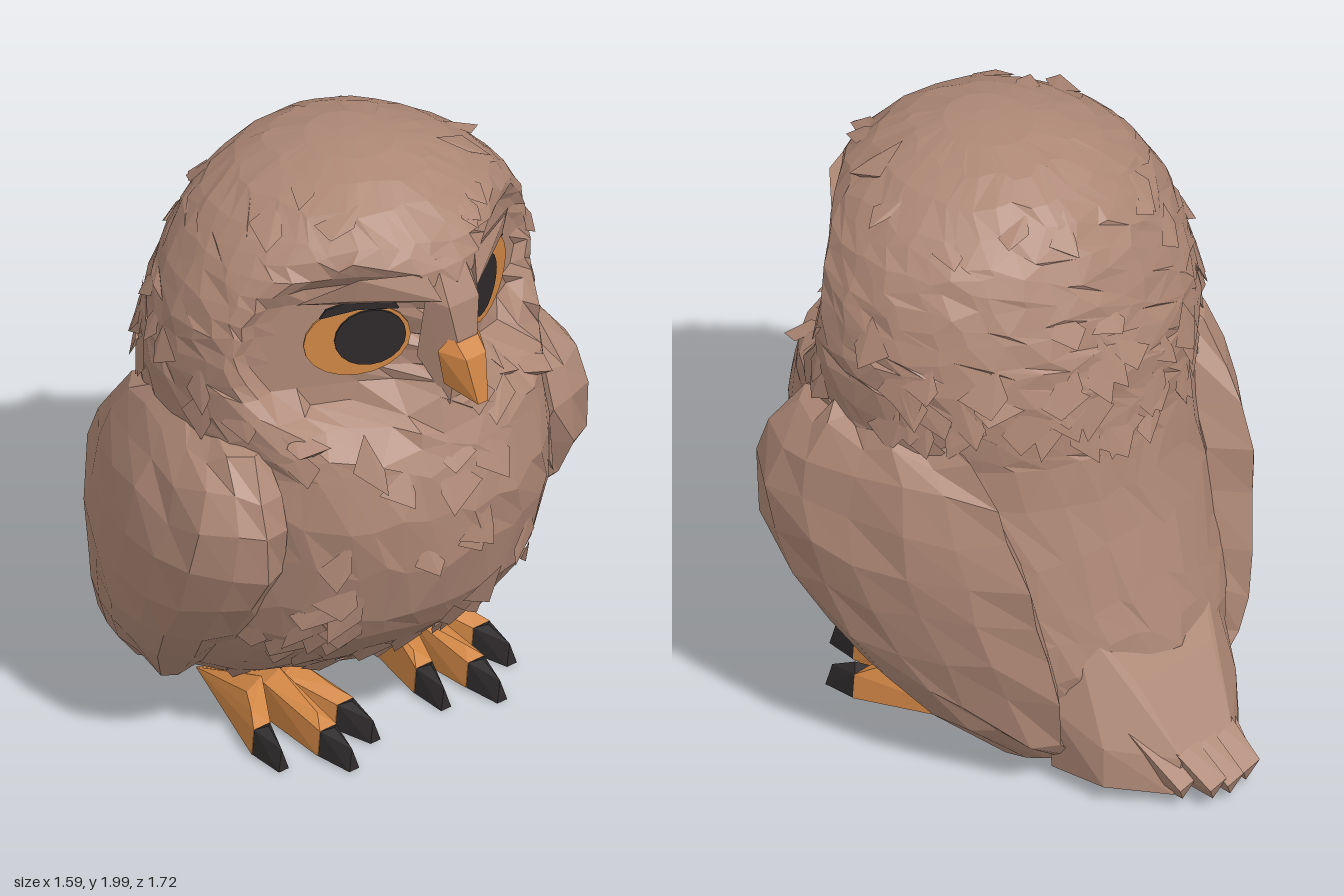
import * as THREE from 'three';
import { ConvexGeometry } from 'three/addons/geometries/ConvexGeometry.js';

let seed = 7;
const rnd = () => ((seed = (seed * 16807) % 2147483647) / 2147483647);
const jit = (a) => (rnd() * 2 - 1) * a;
const V = (x, y, z) => new THREE.Vector3(x, y, z);

// Body profile: height, half width, front z, back z
const PROFILE = [
  [0.03, 0.12, -0.12, -0.42], [0.07, 0.32, 0.05, -0.48], [0.13, 0.42, 0.2, -0.52],
  [0.2, 0.48, 0.33, -0.54], [0.3, 0.54, 0.48, -0.55], [0.4, 0.58, 0.61, -0.55],
  [0.5, 0.6, 0.72, -0.53], [0.6, 0.61, 0.79, -0.5], [0.8, 0.62, 0.84, -0.45],
  [0.95, 0.62, 0.85, -0.41], [1.1, 0.61, 0.81, -0.39], [1.22, 0.64, 0.765, -0.38],
  [1.35, 0.65, 0.75, -0.375], [1.45, 0.65, 0.765, -0.355], [1.55, 0.63, 0.77, -0.325],
  [1.65, 0.595, 0.755, -0.295], [1.75, 0.535, 0.715, -0.25], [1.84, 0.45, 0.655, -0.19],
  [1.91, 0.35, 0.58, -0.12], [1.96, 0.235, 0.495, -0.035], [1.99, 0.13, 0.38, 0.09],
  [2.0, 0.03, 0.28, 0.2],
];

// Point on the body; the face is pressed back to make the flat facial discs
function bodyPoint(theta, s) {
  const i = Math.min(Math.floor(s), PROFILE.length - 2), f = s - i;
  const [y, w, zf, zb] = PROFILE[i].map((v, k) => v + (PROFILE[i + 1][k] - v) * f);
  const p = V(w * Math.cos(theta), y, (zf + zb) / 2 + ((zf - zb) / 2) * Math.sin(theta));
  const ax = Math.abs(p.x);
  if (p.z > 0.2) {
    const d = Math.hypot((ax - 0.32) / 0.23, (y - 1.5) / 0.21);
    const press = THREE.MathUtils.clamp((1.5 - d) / 0.5, 0, 1);
    const plane = 0.61 - 0.53 * (ax - 0.11);
    if (p.z > plane) p.z += (plane - p.z) * press;
  }
  return p;
}

function flatGeometry(points, index) {
  let g = new THREE.BufferGeometry().setFromPoints(points);
  if (index) { g.setIndex(index); g = g.toNonIndexed(); }
  g.computeVertexNormals();
  return g;
}

// Skin over closed rings stacked upward, capped at both ends
function loft(rings) {
  const n = rings[0].length, pts = rings.flat(), index = [];
  for (let i = 0; i < rings.length - 1; i++) for (let j = 0; j < n; j++) {
    const a = i * n + j, b = i * n + (j + 1) % n, c = b + n, d = a + n;
    index.push(a, d, c, a, c, b);
  }
  const top = (rings.length - 1) * n;
  for (let j = 1; j < n - 1; j++) index.push(0, j, j + 1, top, top + j + 1, top + j);
  return flatGeometry(pts, index);
}

// Coarse facets on the body, finer rows across the face
function bodyGeometry() {
  const rings = [], N = 42;
  for (let s = 0; s <= PROFILE.length - 1; s += s >= 10 && s < 17 ? 0.5 : 1) {
    const ring = [];
    for (let j = 0; j < N; j++) {
      const t = ((j + (rings.length % 2) * 0.5) / N) * Math.PI * 2;
      const face = Math.sin(t) > 0.3 && s > 11.5 && s < 16.5;
      const k = face || s < 1 || s > 19 ? 0 : 1;
      const p = bodyPoint(t + jit(0.055) * k, s + jit(0.2) * k);
      p.x *= 1 + jit(0.01) * k;
      p.z += jit(0.007) * k;
      ring.push(p);
    }
    rings.push(ring);
  }
  return loft(rings);
}

// Pointed feather shards lying on the body, tips down and slightly lifted
function tuftGeometry() {
  const out = [], H = Math.PI / 2;
  // count, centre angle, angle spread, profile range, size
  const zones = [
    [34, H, 1.1, 3.5, 8.5, 1.1], [12, H, 1.1, 9.5, 11.5, 1.1], [42, -H, 1.3, 10.2, 12.6, 1.2],
    [9, -H, 1.6, 13, 18, 1], [8, H, 1.6, 17, 18.8, 1], [24, H, 2.2, 1, 3.5, 1.1],
    [6, 0, 0.6, 11, 14, 1], [6, Math.PI, 0.6, 11, 14, 1],
  ];
  for (const [count, mid, spread, s0, s1, size] of zones) for (let i = 0; i < count; i++) {
    const t = mid + jit(spread), s = s0 + rnd() * (s1 - s0);
    const p = bodyPoint(t, s);
    const side = bodyPoint(t + 0.05, s).sub(p).normalize();
    const up = bodyPoint(t, s + 0.1).sub(p).normalize();
    const n = V().crossVectors(up, side).normalize();
    const w = (0.035 + rnd() * 0.035) * size, len = (0.06 + rnd() * 0.07) * size;
    const at = (a, b, c) => p.clone().addScaledVector(side, a).addScaledVector(up, b).addScaledVector(n, c);
    const top = at(jit(w), len * 0.9, -0.01), l = at(-w, 0, 0.003), r = at(w, 0, 0.003);
    const tip = at(jit(w), -len * 0.6, 0.012 + rnd() * 0.014);
    const root = at(0, -len * 0.3, -0.015);
    out.push(top, tip, l, top, r, tip, l, tip, root, root, tip, r);
  }
  return flatGeometry(out);
}

// Folded wing: height, inner x, outer x, front z, back z
const WING = [
  [0.07, 0.28, 0.4, -0.14, -0.44], [0.2, 0.36, 0.57, 0.08, -0.46], [0.35, 0.38, 0.67, 0.24, -0.46],
  [0.5, 0.4, 0.74, 0.37, -0.45], [0.65, 0.42, 0.79, 0.49, -0.43], [0.8, 0.44, 0.805, 0.56, -0.4],
  [0.95, 0.46, 0.785, 0.585, -0.35], [1.07, 0.48, 0.745, 0.55, -0.29], [1.17, 0.5, 0.68, 0.46, -0.18],
  [1.24, 0.52, 0.62, 0.34, 0],
];
const WING_SECTION = [[0, 0.14], [0.14, 0.48], [0.3, 0.72], [0.48, 0.89], [0.66, 0.99], [0.82, 0.97],
  [0.94, 0.77], [1, 0.5], [0.97, 0.2], [0.75, 0], [0.4, 0], [0.12, -0.1]];

function wingGeometry(side) {
  const rings = WING.map(([y, xi, xo, zf, zb]) => {
    const ring = WING_SECTION.map(([u, w]) => V(
      side * (xi + (xo - xi) * w + jit(0.012)), y + jit(0.03), zb + (zf - zb) * u + jit(0.02)));
    return side > 0 ? ring : ring.reverse();
  });
  return loft(rings);
}

const hull = (pts) => new ConvexGeometry(pts.map((p) => V(...p)));

export function createModel() {
  const mat = (name, color) => Object.assign(new THREE.MeshStandardMaterial({ color }), { name });
  const brown = mat('brown plumage', 0xad8775);
  brown.side = THREE.DoubleSide;
  const orange = mat('orange', 0xd08645);
  const black = mat('black', 0x2e2a2b);
  const owl = new THREE.Group();
  owl.name = 'owl';
  const add = (name, geometry, material, parent = owl) => {
    const m = new THREE.Mesh(geometry, material);
    m.name = name;
    parent.add(m);
    return m;
  };

  add('body', bodyGeometry(), brown);
  add('featherTufts', tuftGeometry(), brown);

  // Tail sweeping down from the back, with overlapping feathers at the end
  add('tail', hull([[-0.28, 0.62, -0.37], [0.28, 0.62, -0.37], [-0.38, 0.3, -0.38], [0.38, 0.3, -0.38],
    [-0.36, 0.06, -0.38], [0.36, 0.06, -0.38], [-0.14, 0.37, -0.575], [0.18, 0.37, -0.575],
    [-0.25, 0.2, -0.57], [0.33, 0.2, -0.57], [-0.25, 0.06, -0.58], [0.34, 0.07, -0.58],
    [-0.06, 0.16, -0.74], [0.16, 0.16, -0.74], [-0.09, 0.05, -0.74], [0.2, 0.05, -0.74]]), brown);
  [[-0.08, -0.74, 0], [-0.03, -0.845, 0.005], [0.05, -0.855, 0], [0.115, -0.845, 0.01], [0.18, -0.78, 0.01]]
    .forEach(([x, z, dy]) => add('tailFeather', hull([[x * 1.2 - 0.06, 0.3, -0.54], [x * 1.2 + 0.06, 0.3, -0.54],
      [x * 1.2, 0.06, -0.5], [x - 0.04, 0.09 + dy, z], [x + 0.035, 0.08 + dy, z - 0.005],
      [x, 0.025 + dy, z + 0.02]]), brown));

  // Beak and the ridge between the eyes
  add('beak', hull([[-0.045, 1.535, 0.76], [0.045, 1.535, 0.76], [-0.085, 1.485, 0.74], [0.085, 1.485, 0.74],
    [-0.06, 1.36, 0.74], [0.06, 1.36, 0.74], [-0.04, 1.47, 0.82], [0.04, 1.47, 0.82],
    [-0.02, 1.32, 0.853], [0.02, 1.32, 0.853], [0, 1.315, 0.72]]), orange);
  add('browRidge', hull([-1, 1].flatMap((s) => [[s * 0.04, 1.52, 0.78], [s * 0.1, 1.44, 0.66],
    [s * 0.04, 1.28, 0.745], [s * 0.1, 1.66, 0.7], [s * 0.06, 1.64, 0.765], [s * 0.05, 1.78, 0.69]])), brown);

  for (const s of [1, -1]) {
    const side = s > 0 ? 'left' : 'right';
    add(side + 'Wing', wingGeometry(s), brown);

    add(side + 'Brow', hull([[0.07, 1.66, 0.745], [0.1, 1.75, 0.7], [0.3, 1.77, 0.62], [0.43, 1.67, 0.48],
      [0.3, 1.685, 0.6], [0.11, 1.655, 0.62]].map(([x, y, z]) => [s * x, y, z])), brown);

    // Eye: thin discs on the angled socket
    const eye = new THREE.Group();
    eye.name = side + 'Eye';
    eye.position.set(s * 0.26, 1.52, 0.566);
    eye.rotation.y = s * 0.487;
    owl.add(eye);
    const disc = (name, rx, ry, x, y, z, material) => {
      const g = new THREE.CylinderGeometry(1, 1, 0.008, 20).rotateX(Math.PI / 2).scale(rx, ry, 1);
      add(name, g, material, eye).position.set(s * x, y, z);
    };
    disc('iris', 0.168, 0.125, 0, 0, 0, orange);
    disc('pupil', 0.112, 0.097, -0.04, 0.006, 0.007, black);
    const lid = new THREE.Shape([[-0.13, 0.1], [0, 0.112], [0.12, 0.095], [0.1, 0.125],
      [0.02, 0.145], [-0.11, 0.14]].map(([x, y]) => new THREE.Vector2(s * x, y)));
    add('eyelid', new THREE.ExtrudeGeometry(lid, { depth: 0.008, bevelEnabled: false }), black, eye)
      .position.z = 0.006;

    // Foot: three toes fanning out from the heel, each with a claw
    const foot = new THREE.Group();
    foot.name = side + 'Foot';
    owl.add(foot);
    for (const [tx, tz] of [[0.16, 0.4], [0.3, 0.48], [0.445, 0.34]]) {
      const ring = (w) => [[-w, 0.02], [w, 0.02], [-w * 0.8, 0.105], [w * 0.8, 0.105]]
        .map(([dx, y]) => [s * (tx + dx), y, tz]);
      const kx = 0.28 + (tx - 0.28) * 0.5;
      add('toe', hull([[s * 0.25, 0.02, -0.13], [s * 0.3, 0.04, -0.13], [s * (kx - 0.04), 0.17, 0.2],
        [s * (kx + 0.04), 0.155, 0.22], [s * kx, 0.02, 0.15], [s * tx, 0.135, tz - 0.05], ...ring(0.042)]),
      orange, foot);
      const end = tx + (tx - 0.3) * 0.12;
      add('claw', hull([...ring(0.04), [s * tx, 0.12, tz + 0.03], [s * (end - 0.02), 0.01, tz + 0.12],
        [s * (end + 0.02), 0.01, tz + 0.12], [s * end, 0.08, tz + 0.11]]), black, foot);
    }
  }
  return owl;
}
